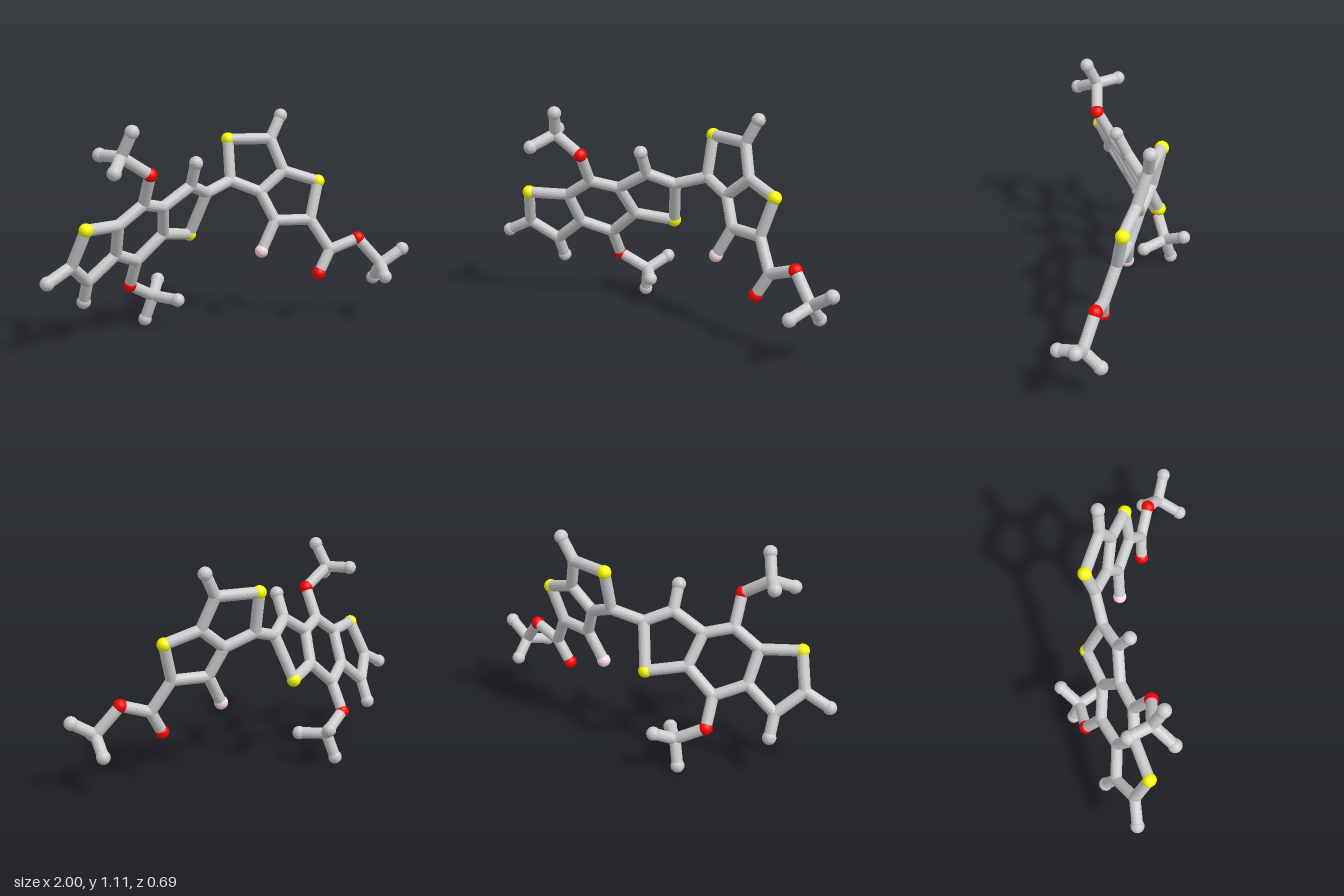
import * as THREE from 'three';

const BOND_R = 0.029, ATOM_R = 0.035;
const COLORS = { grey: 0xcccccc, sulfur: 0xffff00, oxygen: 0xff0000, fluorine: 0xffdde2 };
const mats = {};
for (const [k, color] of Object.entries(COLORS))
  mats[k] = new THREE.MeshStandardMaterial({ color, flatShading: true });

const ball = new THREE.SphereGeometry(ATOM_R, 20, 14);
const joint = new THREE.SphereGeometry(BOND_R, 20, 14);
const UP = new THREE.Vector3(0, 1, 0);

// Each flat ring system lies in a plane z = a + b x + c y
const leftPlane = (x, y) => -0.441 - 0.373 * x + 0.485 * y;
const rightPlane = (x, y) => 0.005 + 0.308 * x - 0.231 * y;

// Atom tables: name -> [x, y] in the plane, or [x, y, z] off it
const leftAtoms = {
  sulfurA: [-0.79, 0.61], carbonA: [-0.84, 0.43], carbonB: [-0.725, 0.325],
  carbonC: [-0.575, 0.445], carbonD: [-0.595, 0.605], carbonE: [-0.46, 0.695],
  carbonF: [-0.325, 0.662], carbonG: [-0.285, 0.51], carbonH: [-0.43, 0.385],
  carbonI: [-0.165, 0.755], carbonJ: [-0.04, 0.7], sulfurB: [-0.095, 0.477],
  hydrogenA: [-0.967, 0.365], hydrogenB: [-0.725, 0.215], hydrogenC: [-0.165, 0.875],
  // upper methoxy arm
  oxygenA: [-0.46, 0.848, 0.15], carbonK: [-0.61, 0.943, 0.153],
  hydrogenD: [-0.575, 1.063, 0.204], hydrogenE: [-0.69, 0.885, 0.26], hydrogenF: [-0.672, 0.945, 0.042],
  // lower methoxy arm
  oxygenB: [-0.433, 0.243, -0.175], carbonL: [-0.285, 0.163, -0.215],
  hydrogenG: [-0.318, 0.036, -0.248], hydrogenH: [-0.215, 0.222, -0.312], hydrogenI: [-0.2, 0.155, -0.1],
};
const rightAtoms = {
  carbonM: [0.12, 0.748], sulfurC: [0.13, 0.957], carbonN: [0.345, 0.955],
  carbonO: [0.395, 0.79], carbonP: [0.265, 0.685], sulfurD: [0.565, 0.732],
  carbonQ: [0.505, 0.538], carbonR: [0.325, 0.538],
  hydrogenJ: [0.41, 1.073], fluorineA: [0.24, 0.385],
  // ester arm
  carbonS: [0.59, 0.38], oxygenC: [0.52, 0.262], oxygenD: [0.74, 0.433],
  carbonT: [0.85, 0.295, 0.19],
  hydrogenK: [0.965, 0.37, 0.218], hydrogenL: [0.86, 0.205, 0.108], hydrogenM: [0.795, 0.255, 0.31],
};

// Bonds as chains of atoms
const leftChains = [
  'sulfurA carbonA carbonB carbonC carbonD sulfurA',
  'carbonD carbonE carbonF carbonG carbonH carbonC',
  'carbonF carbonI carbonJ sulfurB carbonG',
  'carbonA hydrogenA', 'carbonB hydrogenB', 'carbonI hydrogenC',
  'carbonE oxygenA carbonK hydrogenD', 'hydrogenE carbonK hydrogenF',
  'carbonH oxygenB carbonL hydrogenG', 'hydrogenH carbonL hydrogenI',
];
const rightChains = [
  'carbonM sulfurC carbonN carbonO carbonP carbonM',
  'carbonO sulfurD carbonQ carbonR carbonP',
  'carbonN hydrogenJ', 'carbonR fluorineA',
  'carbonQ carbonS oxygenC', 'carbonS oxygenD carbonT hydrogenK', 'hydrogenL carbonT hydrogenM',
];

function rod(a, b, name) {
  const mesh = new THREE.Mesh(
    new THREE.CylinderGeometry(BOND_R, BOND_R, a.distanceTo(b), 20, 1, true), mats.grey);
  mesh.position.lerpVectors(a, b, 0.5);
  mesh.quaternion.setFromUnitVectors(UP, b.clone().sub(a).normalize());
  mesh.name = name;
  return mesh;
}

function buildUnit(name, atoms, chains, plane) {
  const group = new THREE.Group();
  group.name = name;
  const pos = {};
  for (const [key, [x, y, z = plane(x, y)]] of Object.entries(atoms)) {
    pos[key] = new THREE.Vector3(x, y, z);
    const kind = key.slice(0, -1);
    const mesh = new THREE.Mesh(kind === 'carbon' ? joint : ball, mats[kind] ?? mats.grey);
    mesh.position.copy(pos[key]);
    mesh.name = kind + 'Atom';
    group.add(mesh);
  }
  for (const chain of chains) {
    const keys = chain.split(' ');
    for (let i = 1; i < keys.length; i++)
      group.add(rod(pos[keys[i - 1]], pos[keys[i]], 'bond'));
  }
  return { group, pos };
}

export function createModel() {
  const model = new THREE.Group();
  model.name = 'molecule';
  const left = buildUnit('threeRingUnit', leftAtoms, leftChains, leftPlane);
  const right = buildUnit('twoRingUnit', rightAtoms, rightChains, rightPlane);
  // Bond joining the two ring systems
  model.add(left.group, right.group, rod(left.pos.carbonJ, right.pos.carbonM, 'linkingBond'));
  return model;
}
